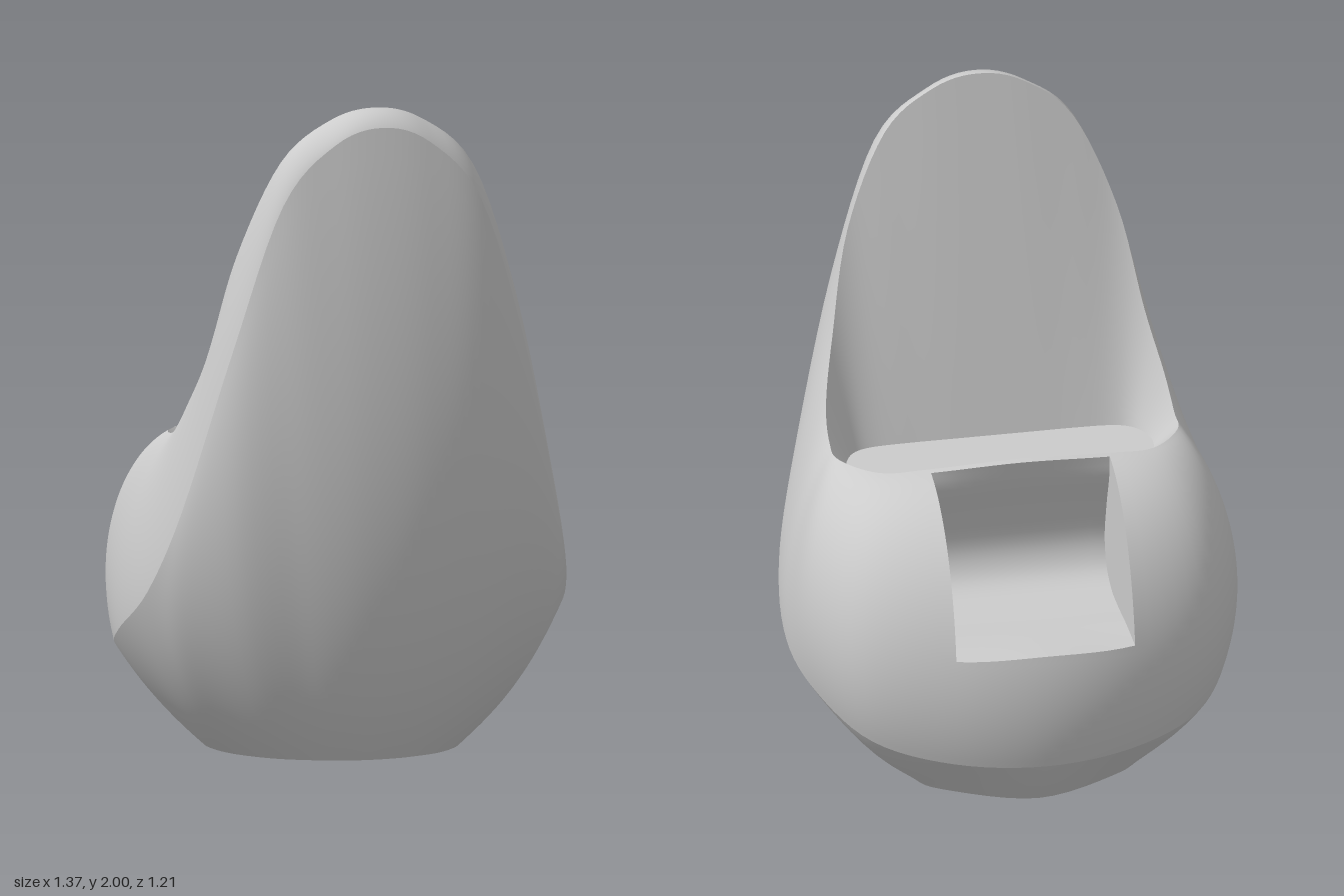
import * as THREE from 'three';

const PER_KEY = 6, COLS = 20 * PER_KEY;   // columns around the body
const LOW_ROWS = 30, UP_ROWS = 48;        // rows below and above the crease
const LIP_ROW = 16, TOP_ROW = 47;         // upper rows that bound the rear notch

// Guide loops: points run from the middle of the back, round the +x side, to the middle of the front
const guides = {
  base: [[0, 0, -.44], [.275, 0, -.32], [.345, 0, -.22], [.38, 0, -.1], [.385, 0, -.03], [.37, 0, .07],
    [.33, 0, .165], [.25, 0, .265], [.14, 0, .33], [.07, 0, .352], [0, 0, .36]],
  bowl: [[0, .08, -.51], [.275, .09, -.43], [.45, .1, -.32], [.53, .13, -.15], [.57, .17, 0], [.58, .2, .19],
    [.62, .35, .36], [.5, .45, .56], [.31, .52, .66], [.155, .54, .715], [0, .55, .73]],
  crease: [[0, .17, -.57], [.275, .18, -.52], [.5, .22, -.4], [.63, .3, -.2], [.68, .38, .02], [.655, .52, .25],
    [.585, .78, .39], [.455, 1.28, .5], [.31, 1.72, .54], [.15, 1.9, .548], [0, 1.95, .55]],
  belly: [[0, .55, -.68], [.275, .53, -.64], [.58, .55, -.5], [.7, .58, -.24], [.7, .6, .03], [.65, .7, .23],
    [.57, .95, .36], [.455, 1.35, .47], [.315, 1.77, .52], [.152, 1.93, .53], [0, 1.98, .53]],
  shoulder: [[0, .97, -.5], [.275, .96, -.48], [.52, .92, -.36], [.64, .86, -.16], [.63, .84, .05], [.59, .92, .2],
    [.54, 1.1, .32], [.45, 1.42, .44], [.31, 1.82, .48], [.148, 1.96, .49], [0, 2, .5]],
  rim: [[0, 1.01, -.17], [.275, .995, -.155], [.42, .98, -.12], [.52, .975, 0], [.53, .985, .1], [.52, 1.07, .2],
    [.48, 1.24, .3], [.415, 1.55, .39], [.29, 1.84, .44], [.14, 1.965, .455], [0, 2, .46]],
  floor: [[0, .88, -.01], [.275, .88, -.01], [.4, .88, .01], [.455, .88, .06], [.47, .88, .13], [.455, .88, .19],
    [.42, .88, .235], [.36, .88, .255], [.25, .88, .26], [.13, .88, .26], [0, .88, .26]],
};

// Mirrors a half guide and samples it as a smooth closed loop
function loop(half) {
  const mirrored = half.slice(1, -1).reverse().map(([x, y, z]) => [-x, y, z]);
  const points = [...half, ...mirrored].map(p => new THREE.Vector3(...p));
  const curve = new THREE.CatmullRomCurve3(points, true, 'catmullrom', 0.5);
  return Array.from({ length: COLS }, (_, i) => curve.getPoint(i / COLS));
}

// Surface through rows of points; skip(r, c) leaves a quad out
function grid(rows, closed, skip = () => false) {
  const w = rows[0].length, index = [];
  for (let r = 0; r < rows.length - 1; r++) {
    for (let c = 0; c < (closed ? w : w - 1); c++) {
      if (skip(r, c)) continue;
      const n = (c + 1) % w;
      const a = r * w + c, b = (r + 1) * w + c, d = (r + 1) * w + n, e = r * w + n;
      index.push(a, b, d, a, d, e);
    }
  }
  const geo = new THREE.BufferGeometry();
  geo.setFromPoints(rows.flat());
  geo.setIndex(index);
  geo.computeVertexNormals();
  return geo;
}

// Rows of points swept along one curve per column
function sweep(count, curveAt) {
  const curves = Array.from({ length: COLS }, (_, c) => curveAt(c));
  return Array.from({ length: count + 1 }, (_, r) => curves.map(k => k.getPoint(r / count)));
}

export function createModel() {
  const group = new THREE.Group();
  const material = new THREE.MeshStandardMaterial({ color: 0xcccccc, side: THREE.DoubleSide });
  const add = (name, geo) => {
    const mesh = new THREE.Mesh(geo, material);
    mesh.name = name;
    group.add(mesh);
  };

  const g = {};
  for (const key in guides) g[key] = loop(guides[key]);

  // Lower bowl and tall front face, up to the crease
  const lower = sweep(LOW_ROWS, c => new THREE.QuadraticBezierCurve3(g.base[c], g.bowl[c], g.crease[c]));
  add('frontShell', grid(lower, true));

  // Rounded rear body with the notch opening left out
  const upper = sweep(UP_ROWS, c => new THREE.CubicBezierCurve3(g.crease[c], g.belly[c], g.shoulder[c], g.rim[c]));
  const inNotch = (r, c) => r >= LIP_ROW && r < TOP_ROW && (c < PER_KEY || c >= COLS - PER_KEY);
  add('rearBody', grid(upper, true, inNotch));

  // Slanted pocket wall from the rim down to the slot floor
  add('pocketWall', grid(sweep(8, c => new THREE.LineCurve3(g.rim[c], g.floor[c])), true));
  const slotCentre = new THREE.Vector3(0, .88, .13);
  add('slotFloor', grid([g.floor, g.floor.map(() => slotCentre)], true));

  // Rear notch: level floor, round inner corner, undercut wall
  const steps = TOP_ROW - LIP_ROW;
  const profile = [[.548, -.42], [.548, -.3], [.558, -.2], [.6, -.13], [.68, -.1], [.8, -.125], [.93, -.17]];
  const notchCurves = [];
  for (let i = -PER_KEY; i <= PER_KEY; i++) {
    const c = (i + COLS) % COLS, lip = upper[LIP_ROW][c], top = upper[TOP_ROW][c];
    notchCurves.push(new THREE.CatmullRomCurve3(
      [lip, ...profile.map(([y, z]) => new THREE.Vector3(lip.x, y, z)), top]));
  }
  const notch = Array.from({ length: steps + 1 }, (_, r) => notchCurves.map(k => k.getPoint(r / steps)));
  add('notchSurface', grid(notch, false));

  // Flat notch side walls between the body edge and the notch profile
  for (const side of [-1, 1]) {
    const c = (side * PER_KEY + COLS) % COLS, k = side < 0 ? 0 : 2 * PER_KEY;
    const rows = notch.map((row, r) => side < 0
      ? [row[k], upper[LIP_ROW + r][c]].reverse()
      : [row[k], upper[LIP_ROW + r][c]]);
    add(side < 0 ? 'notchWallRight' : 'notchWallLeft', grid(rows, false));
  }

  // Round recess in the underside with a thin foot ring
  const recess = y => g.base.map(p => new THREE.Vector3(p.x * .94, y, (p.z + .04) * .94 - .04));
  const ceiling = recess(.29), mouth = recess(0);
  const middle = new THREE.Vector3(0, .29, -.04);
  add('recessCeiling', grid([ceiling.map(() => middle), ceiling], true));
  add('recessWall', grid([ceiling, mouth], true));
  add('footRing', grid([mouth, g.base], true));

  return group;
}
